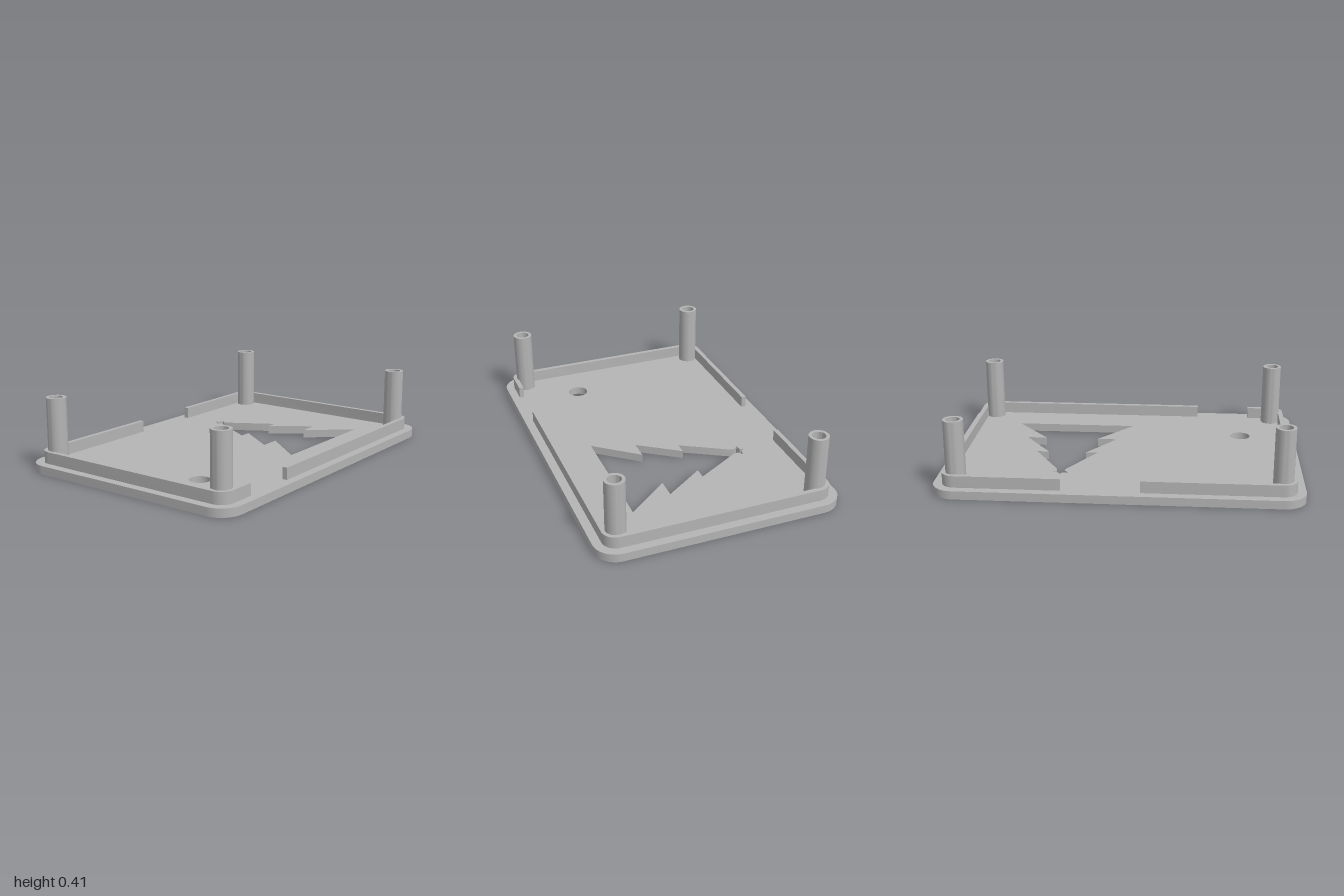
import * as THREE from 'three';
import { toCreasedNormals } from 'three/addons/utils/BufferGeometryUtils.js';

// Corner centres shared by plate, rim and posts
const CX = 0.875, CZ = 0.562;
const PLATE_TOP = 0.047, RIM_TOP = 0.113, POST_TOP = 0.407;

export function createModel() {
  const group = new THREE.Group();
  group.name = 'enclosureLid';
  const grey = new THREE.MeshStandardMaterial({ color: 0xb4b4b4 });
  grey.name = 'grey plastic';

  const add = (name, geometry) => {
    const mesh = new THREE.Mesh(toCreasedNormals(geometry, 0.5), grey);
    mesh.name = name;
    group.add(mesh);
    return mesh;
  };

  // Extrude a plan outline (shape y = -z) upward from y0 to y1
  const slab = (shape, y0, y1) => {
    const g = new THREE.ExtrudeGeometry(shape, { depth: y1 - y0, bevelEnabled: false, curveSegments: 32 });
    return g.rotateX(-Math.PI / 2).translate(0, y0, 0);
  };

  // Quarter arc around the corner (sx, sy), swept from angle a0 to a1
  const arc = (sx, sy, r, a0, a1, n = 12) => Array.from({ length: n + 1 }, (_, i) => {
    const a = a0 + (a1 - a0) * i / n;
    return new THREE.Vector2(sx * (CX + r * Math.cos(a)), sy * (CZ + r * Math.sin(a)));
  });
  const Q = Math.PI / 2;

  // Base plate with rounded corners
  const plate = new THREE.Shape([
    ...arc(1, 1, 0.125, 0, Q), ...arc(-1, 1, 0.125, Q, 0),
    ...arc(-1, -1, 0.125, 0, Q), ...arc(1, -1, 0.125, Q, 0),
  ]);

  // Round hole
  const hole = new THREE.Path();
  hole.absarc(-0.68, -0.273, 0.058, 0, Math.PI * 2, true);
  plate.holes.push(hole);

  // Tree cut-out: half outline as [offset from tree axis, z], mirrored
  const axis = 0.335;
  const half = [
    [0, -0.405], [0.011, -0.385], [0.046, -0.382], [0.02, -0.357], [0.027, -0.328],
    [0.176, -0.072], [0.108, -0.072], [0.27, 0.158], [0.155, 0.158], [0.354, 0.402],
  ];
  const right = half.map(([x, z]) => new THREE.Vector2(axis + x, -z));
  const left = half.slice(1).reverse().map(([x, z]) => new THREE.Vector2(axis - x, -z));
  plate.holes.push(new THREE.Path([...right, ...left]));
  add('basePlate', slab(plate, 0, PLATE_TOP));

  // Raised rim: one C-shaped wall per side, leaving gaps at the front and back
  const rimSide = (s, backEnd, frontEnd) => {
    const ro = 0.076, ri = 0.049;
    return new THREE.Shape([
      new THREE.Vector2(backEnd, CZ + ro),
      ...arc(s, 1, ro, Q, 0), ...arc(s, -1, ro, 0, Q),
      new THREE.Vector2(frontEnd, -CZ - ro), new THREE.Vector2(frontEnd, -CZ - ri),
      ...arc(s, -1, ri, Q, 0), ...arc(s, 1, ri, 0, Q),
      new THREE.Vector2(backEnd, CZ + ri),
    ]);
  };
  add('rimLeft', slab(rimSide(1, 0.305, -0.42), PLATE_TOP, RIM_TOP));
  add('rimRight', slab(rimSide(-1, -0.122, -0.738), PLATE_TOP, RIM_TOP));

  // Hollow corner posts
  const profile = [[0.055, PLATE_TOP], [0.055, POST_TOP], [0.037, POST_TOP], [0.037, PLATE_TOP + 0.002], [0, PLATE_TOP + 0.002]]
    .map(([r, y]) => new THREE.Vector2(r, y));
  for (const sx of [1, -1]) {
    for (const sz of [1, -1]) {
      const name = (sz > 0 ? 'front' : 'back') + (sx > 0 ? 'Left' : 'Right') + 'Post';
      add(name, new THREE.LatheGeometry(profile, 40)).position.set(sx * CX, 0, sz * CZ);
    }
  }
  return group;
}
